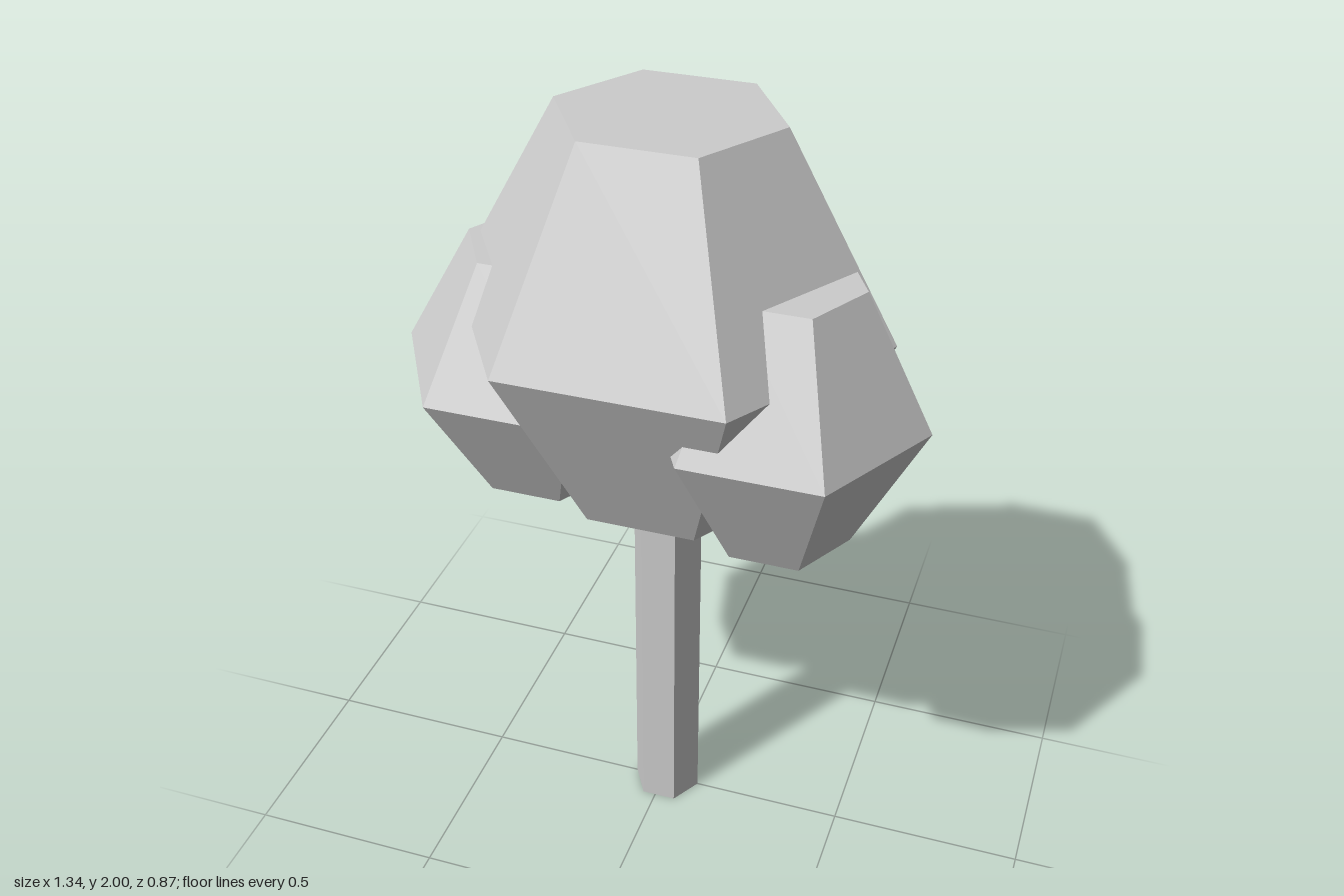
import * as THREE from 'three';

const SIDES = 6;

// Six-sided solid from a [radius, y] profile, with a corner on +x
function hexSolid(name, profile, material) {
  const points = profile.map(([r, y]) => new THREE.Vector2(r, y));
  const geometry = new THREE.LatheGeometry(points, SIDES, Math.PI / 6);
  const mesh = new THREE.Mesh(geometry, material);
  mesh.name = name;
  return mesh;
}

// Foliage lump: widest at the middle, half as wide at both flat ends
function lump(name, { x, z, rx, rz, bottom, middle, top }, material) {
  const mesh = hexSolid(name, [[0, bottom], [0.5, bottom], [1, middle], [0.5, top], [0, top]], material);
  mesh.scale.set(rx, 1, rz);
  mesh.position.set(x, 0, z);
  return mesh;
}

export function createModel() {
  const grey = new THREE.MeshStandardMaterial({ color: 0xcccccc, flatShading: true });
  grey.name = 'plain grey';

  const tree = new THREE.Group();
  tree.name = 'tree';

  // Trunk
  const trunk = hexSolid('trunk', [[0, 0], [0.09, 0], [0.09, 1.03], [0, 1.03]], grey);
  trunk.position.x = 0.01;
  tree.add(trunk);

  // Main crown and the two smaller side lumps
  tree.add(
    lump('mainCrown', { x: 0.012, z: 0, rx: 0.545, rz: 0.502, bottom: 1.02, middle: 1.51, top: 2 }, grey),
    lump('rightSideCrown', { x: -0.31, z: 0, rx: 0.36, rz: 0.364, bottom: 1.012, middle: 1.325, top: 1.64 }, grey),
    lump('leftSideCrown', { x: 0.33, z: 0.09, rx: 0.34, rz: 0.364, bottom: 1.016, middle: 1.35, top: 1.685 }, grey),
  );
  return tree;
}
